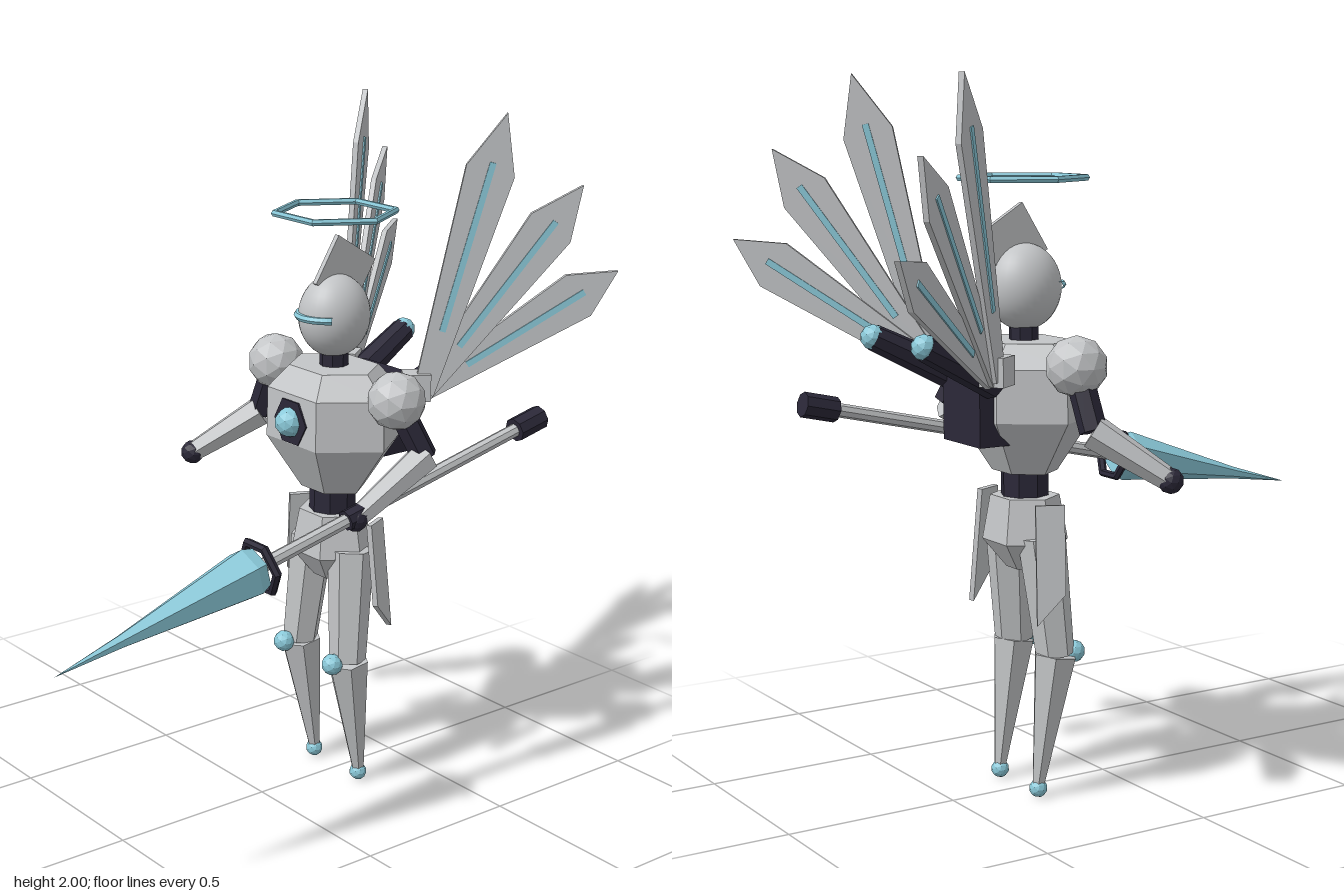
import * as THREE from 'three';

const grey = new THREE.MeshStandardMaterial({ color: 0xc3c5c7 });
grey.name = 'light grey armour';
const dark = new THREE.MeshStandardMaterial({ color: 0x2b2838 });
dark.name = 'dark joints';
const teal = new THREE.MeshStandardMaterial({ color: 0x8bcada });
teal.name = 'pale teal glow';

const V = (x, y, z) => new THREE.Vector3(x, y, z);
const UP = V(0, 1, 0);

// Faceted version of a geometry
function flat(geometry) {
  const g = geometry.index ? geometry.toNonIndexed() : geometry;
  g.computeVertexNormals();
  return g;
}

export function createModel() {
  const model = new THREE.Group();
  model.name = 'wingedLancer';

  function add(name, geometry, material, position = V(0, 0, 0), parent = model) {
    const mesh = new THREE.Mesh(geometry, material);
    mesh.name = name;
    mesh.position.copy(position);
    parent.add(mesh);
    return mesh;
  }

  // Tapered faceted rod from a to b
  function rod(name, a, b, ra, rb, material, sides = 6) {
    const d = b.clone().sub(a);
    const g = flat(new THREE.CylinderGeometry(rb, ra, d.length(), sides));
    const mesh = add(name, g, material, a.clone().add(b).multiplyScalar(0.5));
    mesh.quaternion.setFromUnitVectors(UP, d.normalize());
    return mesh;
  }

  const ball = (name, p, r, material) =>
    add(name, flat(new THREE.IcosahedronGeometry(r, 1)), material, p);

  // Six-sided turned body block, profile given from bottom to top
  function hexBody(name, profile, depth) {
    const pts = profile.map(([r, y]) => new THREE.Vector2(r, y));
    const g = new THREE.LatheGeometry(pts, 6, Math.PI / 6).scale(1, 1, depth);
    return add(name, flat(g), grey, V(0, 0, -0.26));
  }

  // Thin plate from an outline, centred on its thickness
  function plate(points, thickness) {
    const shape = new THREE.Shape(points.map(([x, y]) => new THREE.Vector2(x, y)));
    return new THREE.ExtrudeGeometry(shape, { depth: thickness, bevelEnabled: false })
      .translate(0, 0, -thickness / 2);
  }

  // Body core
  hexBody('torso', [[0, 0.915], [0.107, 0.915], [0.226, 1.07], [0.222, 1.215], [0.15, 1.28], [0, 1.28]], 0.8);
  hexBody('pelvis', [[0, 0.64], [0.058, 0.64], [0.132, 0.72], [0.107, 0.845], [0, 0.845]], 0.87);
  rod('waist', V(0, 0.82, -0.26), V(0, 0.94, -0.26), 0.068, 0.068, dark, 8);
  rod('neck', V(0, 1.25, -0.26), V(0, 1.35, -0.26), 0.042, 0.042, dark, 8);
  rod('chestSocket', V(0, 1.135, -0.14), V(0, 1.135, -0.1), 0.072, 0.072, dark).rotateY(Math.PI / 6);
  ball('chestCore', V(0, 1.135, -0.1), 0.044, teal);

  // Head, visor, crest and halo
  add('head', new THREE.SphereGeometry(1, 32, 20).scale(0.097, 0.12, 0.108), grey, V(0, 1.425, -0.26));
  const visorArc = 1.8;
  const visor = new THREE.TorusGeometry(0.1, 0.011, 6, 14, visorArc)
    .rotateZ(-Math.PI / 2 - visorArc / 2).rotateX(-Math.PI / 2).scale(0.95, 1, 1.1);
  add('visor', flat(visor), teal, V(0, 1.43, -0.26));
  add('crest', new THREE.BoxGeometry(0.016, 0.153, 0.161), grey, V(0, 1.548, -0.295)).rotation.x = -0.555;
  add('halo', flat(new THREE.TorusGeometry(0.173, 0.01, 6, 6).rotateX(Math.PI / 2)), teal, V(0, 1.722, -0.26));

  // Backpack
  add('backpack', new THREE.BoxGeometry(0.2, 0.24, 0.12), dark, V(0, 1.125, -0.4));

  for (const s of [1, -1]) {
    const side = s > 0 ? 'left' : 'right';

    // Leg
    const hip = V(s * 0.088, 0.74, -0.26);
    const knee = V(s * 0.112, 0.405, -0.232);
    const ankle = V(s * 0.105, 0.035, -0.285);
    rod(side + 'Thigh', hip, knee, 0.068, 0.054, grey);
    rod(side + 'Shin', ankle, knee, 0.018, 0.064, grey);
    ball(side + 'KneeCap', V(s * 0.114, 0.407, -0.172), 0.032, teal);
    ball(side + 'FootOrb', V(s * 0.105, 0.026, -0.285), 0.026, teal);

    // Hip guard, slanted at the bottom and flared outwards
    const guard = plate([[0, 0], [0, -0.33], [0.08, -0.245], [0.08, 0]], 0.016);
    const hipGuard = add(side + 'HipGuard', guard, grey, V(s * 0.15, 0.842, -0.318));
    hipGuard.rotation.set(s * 0.1, Math.atan2(-0.075, s * 0.035), 0, 'YXZ');

    // Arm
    const shoulder = V(s * 0.273, 1.232, -0.262);
    const elbow = s > 0 ? V(0.325, 1.07, -0.325) : V(-0.335, 1.065, -0.25);
    const hand = s > 0 ? V(0.313, 0.932, -0.085) : V(-0.458, 0.935, -0.086);
    ball(side + 'Shoulder', shoulder, 0.084, grey);
    rod(side + 'UpperArm', shoulder, elbow, 0.038, 0.038, dark);
    rod(side + 'Forearm', elbow, hand, 0.048, 0.032, grey);
    ball(side + 'Hand', hand, 0.036, dark);

    // Thruster
    const nozzle = V(s * 0.144, 1.295, -0.65);
    rod(side + 'Thruster', V(s * 0.11, 1.18, -0.42), nozzle, 0.045, 0.037, dark, 8);
    ball(side + 'ThrusterGlow', nozzle, 0.036, teal);

    // Wing: a fan of three feathers in an upright plane swept back
    const wing = new THREE.Group();
    wing.name = side + 'Wing';
    wing.position.set(s * 0.15, 1.2, -0.43);
    wing.rotation.y = Math.atan2(0.807, s * 0.59);
    model.add(wing);
    add('wingHub', new THREE.BoxGeometry(0.08, 0.08, 0.07), grey, V(0.01, 0.02, 0), wing);
    [[0.262, 0.83], [0.63, 0.74], [1.0, 0.65]].forEach(([angle, len], i) => {
      const feather = new THREE.Group();
      feather.name = 'feather' + (i + 1);
      feather.position.set(0.03, 0, s * (0.012 - 0.012 * i));
      feather.rotation.z = -angle;
      wing.add(feather);
      const w = 0.07;
      add('featherBlade', plate([[-0.03, 0], [0.03, 0], [w, len * 0.8], [0, len], [-w, len * 0.8]], 0.016),
        grey, V(0, 0, 0), feather);
      add('featherStripe', new THREE.BoxGeometry(0.018, len * 0.6, 0.024), teal, V(0, len * 0.53, 0), feather);
    });
  }

  // Lance, sloping down towards the front
  const onLance = (z) => V(0.313, 0.867 - 0.227 * (z - 0.246), z);
  rod('lanceShaft', onLance(-0.72), onLance(0.29), 0.02, 0.02, grey, 8);
  rod('lanceButt', onLance(-0.785), onLance(-0.685), 0.036, 0.036, dark, 8);
  rod('lanceGrip', onLance(-0.12), onLance(-0.05), 0.03, 0.03, dark, 8);
  const ring = add('lanceGuard', flat(new THREE.TorusGeometry(0.074, 0.013, 6, 6)), dark, onLance(0.246));
  ring.rotation.x = Math.atan(0.227);
  const bladeProfile = [[0, 0], [0.062, 0], [0.075, 0.035], [0.019, 0.45], [0, 0.66]]
    .map(([r, y]) => new THREE.Vector2(r, y));
  const blade = add('lanceBlade', flat(new THREE.LatheGeometry(bladeProfile, 6)), teal, onLance(0.258));
  blade.quaternion.setFromUnitVectors(UP, V(0, -0.227, 1).normalize());

  return model;
}
